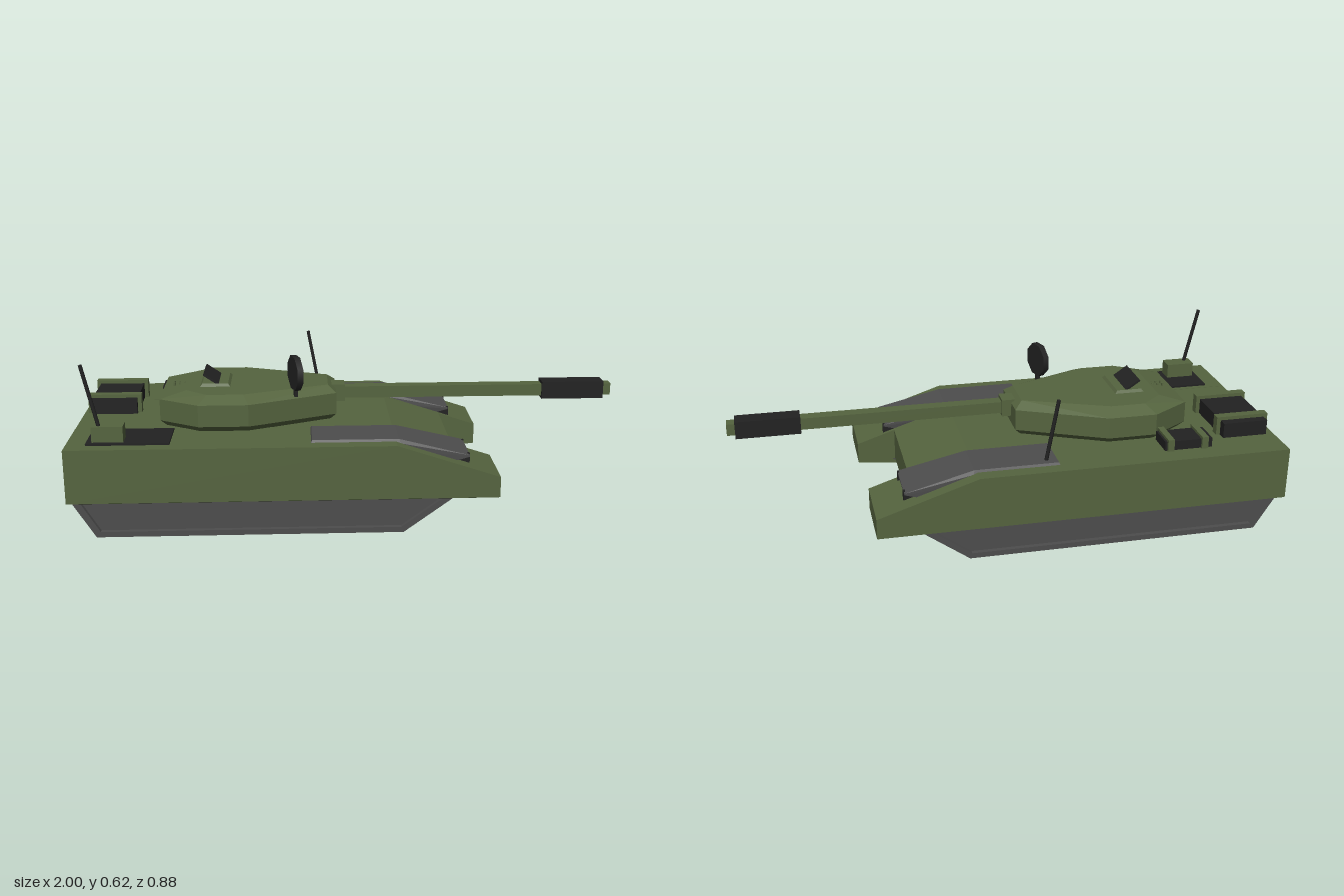
import * as THREE from 'three';
import { ConvexGeometry } from 'three/addons/geometries/ConvexGeometry.js';

const mat = (name, color) => {
  const m = new THREE.MeshStandardMaterial({ color });
  m.name = name;
  return m;
};

export function createModel() {
  const model = new THREE.Group();
  model.name = 'tank';
  const green = mat('olive green', 0x55643f);
  const grey = mat('track grey', 0x4d4d4d);
  const black = mat('black', 0x222222);
  const lens = mat('lamp grey', 0xc0c0c0);

  const add = (name, geo, material, parent = model) => {
    const m = new THREE.Mesh(geo, material);
    m.name = name;
    parent.add(m);
    return m;
  };
  // Box given by its lower and upper limits on each axis
  const box = (name, material, x0, x1, y0, y1, z0, z1) => {
    const m = add(name, new THREE.BoxGeometry(x1 - x0, y1 - y0, z1 - z0), material);
    m.position.set((x0 + x1) / 2, (y0 + y1) / 2, (z0 + z1) / 2);
    return m;
  };
  // Convex solid from corner triples
  const solid = (name, material, pts) =>
    add(name, new ConvexGeometry(pts.map(p => new THREE.Vector3(...p))), material);
  // Side profile (x, y) extruded between two z values
  const prism = (name, material, profile, z0, z1, hole) => {
    const shape = new THREE.Shape(profile.map(p => new THREE.Vector2(...p)));
    if (hole) shape.holes.push(new THREE.Path(hole.map(p => new THREE.Vector2(...p))));
    const g = new THREE.ExtrudeGeometry(shape, { depth: z1 - z0, bevelEnabled: false });
    g.translate(0, 0, z0);
    return add(name, g, material);
  };
  const rod = (name, a, b, r) => {
    const from = new THREE.Vector3(...a), to = new THREE.Vector3(...b);
    const dir = to.clone().sub(from);
    const m = add(name, new THREE.CylinderGeometry(r, r, dir.length(), 6), black);
    m.position.copy(from).add(to).multiplyScalar(0.5);
    m.quaternion.setFromUnitVectors(new THREE.Vector3(0, 1, 0), dir.normalize());
    return m;
  };

  // Central hull with sloping nose and belly
  prism('centreHull', green, [[-1, 0.145], [-0.91, 0.033], [0.2, 0.033], [0.37, 0.145],
    [0.37, 0.268], [0.15, 0.339], [-1, 0.339]], -0.2, 0.2);

  const trackOuter = [[-1, 0.145], [-0.91, 0], [0.18, 0], [0.38, 0.145]];
  const trackInner = [[-0.965, 0.135], [-0.895, 0.02], [0.172, 0.02], [0.33, 0.135]];

  for (const s of [1, -1]) {
    const side = s > 0 ? 'left' : 'right';
    // Side pod: stations of x, top, bottom
    const pod = [];
    for (const [x, top, bot] of [[-1, 0.34, 0.145], [-0.97, 0.34, 0.125], [0.15, 0.34, 0.125],
      [0.375, 0.266, 0.125], [0.515, 0.22, 0.14]]) {
      pod.push([x, top, 0.195 * s], [x, top, 0.44 * s], [x, 0.145, 0.44 * s],
        [x, bot, 0.39 * s], [x, bot, 0.195 * s]);
    }
    solid(side + 'Pod', green, pod);

    // Track with raised rim around a recessed side panel
    const lo = s > 0 ? 0.195 : -0.375, hi = s > 0 ? 0.375 : -0.195;
    prism(side + 'Track', grey, trackOuter, lo, hi);
    prism(side + 'TrackRim', grey, trackOuter, s > 0 ? 0.375 : -0.392, s > 0 ? 0.392 : -0.375, trackInner);

    // Fender cover overhanging the headlamp
    const cover = [];
    for (const [x, y, a, b] of [[-0.15, 0.336, 0.21, 0.392], [-0.145, 0.348, 0.218, 0.384],
      [0.16, 0.348, 0.218, 0.384], [0.165, 0.334, 0.21, 0.392], [0.41, 0.287, 0.207, 0.393],
      [0.41, 0.281, 0.207, 0.393], [0.36, 0.266, 0.21, 0.392]]) {
      cover.push([x, y, a * s], [x, y, b * s]);
    }
    solid(side + 'FenderCover', grey, cover);
    for (const [a, b] of [[0.21, 0.224], [0.362, 0.38]]) {
      const bracket = [];
      for (const z of [a * s, b * s]) {
        bracket.push([0.365, 0.26, z], [0.365, 0.285, z], [0.412, 0.289, z], [0.412, 0.252, z]);
      }
      solid(side + 'LampBracket', black, bracket);
    }
    box(side + 'Headlamp', lens, 0.396, 0.404, 0.25, 0.286, ...(s > 0 ? [0.222, 0.364] : [-0.364, -0.222]));
  }

  // Turret: stacked faceted rings, mirrored across z
  const turret = [];
  const ring = (y, pts) => pts.forEach(([x, z]) => turret.push([x, y, z], [x, y, -z]));
  const wide = [[-0.695, 0.16], [-0.55, 0.253], [-0.37, 0.253], [-0.05, 0.105]];
  ring(0.335, [[-0.67, 0.145], [-0.54, 0.232], [-0.375, 0.232], [-0.075, 0.09]]);
  ring(0.36, wide);
  ring(0.44, wide);
  ring(0.465, [[-0.6, 0.13], [-0.52, 0.2], [-0.39, 0.2], [-0.08, 0.075]]);
  solid('turret', green, turret);

  // Commander hatch and its raised lid
  solid('hatchBase', green, [[-0.555, 0.09, 0.463], [-0.44, 0.09, 0.463], [-0.545, 0.08, 0.475], [-0.45, 0.08, 0.475]]
    .flatMap(([x, z, y]) => [[x, y, z], [x, y, -z]]));
  const lid = box('hatchLid', black, -0.545, -0.48, 0.486, 0.494, -0.077, 0.077);
  lid.position.x = -0.513;
  lid.rotation.z = -0.6;
  for (const x of [-0.655, -0.635, -0.615]) {
    for (const z of [-0.012, 0.012]) {
      box('roofStud', green, x - 0.003, x + 0.003, 0.445, 0.463, z - 0.003, z + 0.003);
    }
  }

  // Octagonal sensor dish on a short stalk
  const dish = new THREE.Group();
  dish.name = 'sensor';
  dish.position.set(-0.2, 0.533, 0.16);
  dish.rotation.y = 0.3;
  model.add(dish);
  const discGeo = new THREE.CylinderGeometry(0.066, 0.066, 0.022, 8);
  discGeo.rotateY(Math.PI / 8);
  discGeo.rotateZ(Math.PI / 2);
  add('sensorDisc', discGeo.toNonIndexed(), black, dish);
  add('sensorStalk', new THREE.BoxGeometry(0.014, 0.04, 0.014), black, dish).position.y = -0.075;

  // Gun
  box('mantlet', green, -0.065, -0.015, 0.388, 0.453, -0.034, 0.034);
  box('barrel', green, -0.03, 0.75, 0.398, 0.442, -0.023, 0.023);
  box('muzzleSleeve', black, 0.735, 0.97, 0.387, 0.453, -0.033, 0.033);
  const tip = new THREE.Shape([[-1, -1], [1, -1], [1, 1], [-1, 1]].map(([a, b]) => new THREE.Vector2(a * 0.022, b * 0.022)));
  tip.holes.push(new THREE.Path([[-1, -1], [1, -1], [1, 1], [-1, 1]].map(([a, b]) => new THREE.Vector2(a * 0.013, b * 0.013))));
  const tipGeo = new THREE.ExtrudeGeometry(tip, { depth: 0.03, bevelEnabled: false });
  tipGeo.rotateY(Math.PI / 2);
  add('muzzleTip', tipGeo, green).position.set(0.97, 0.42, 0);

  // Stowage boxes with straps on the rear deck
  box('rearStowage', black, -0.97, -0.8, 0.338, 0.397, -0.295, 0);
  for (const z of [-0.245, -0.035]) box('rearStrap', green, -0.985, -0.785, 0.338, 0.41, z - 0.016, z + 0.016);
  box('sideStowage', black, -0.73, -0.55, 0.338, 0.375, -0.357, -0.255);
  for (const x of [-0.7, -0.57]) box('sideStrap', green, x - 0.012, x + 0.012, 0.338, 0.385, -0.367, -0.245);

  // Engine grille, antenna base and two whip antennas
  box('engineGrille', black, -0.93, -0.64, 0.338, 0.347, 0.215, 0.39);
  box('antennaBase', green, -0.91, -0.8, 0.34, 0.403, 0.313, 0.375);
  rod('rearAntenna', [-0.885, 0.4, 0.357], [-0.935, 0.62, 0.357], 0.007);
  rod('frontAntenna', [-0.105, 0.345, -0.355], [-0.147, 0.574, -0.355], 0.007);

  return model;
}
